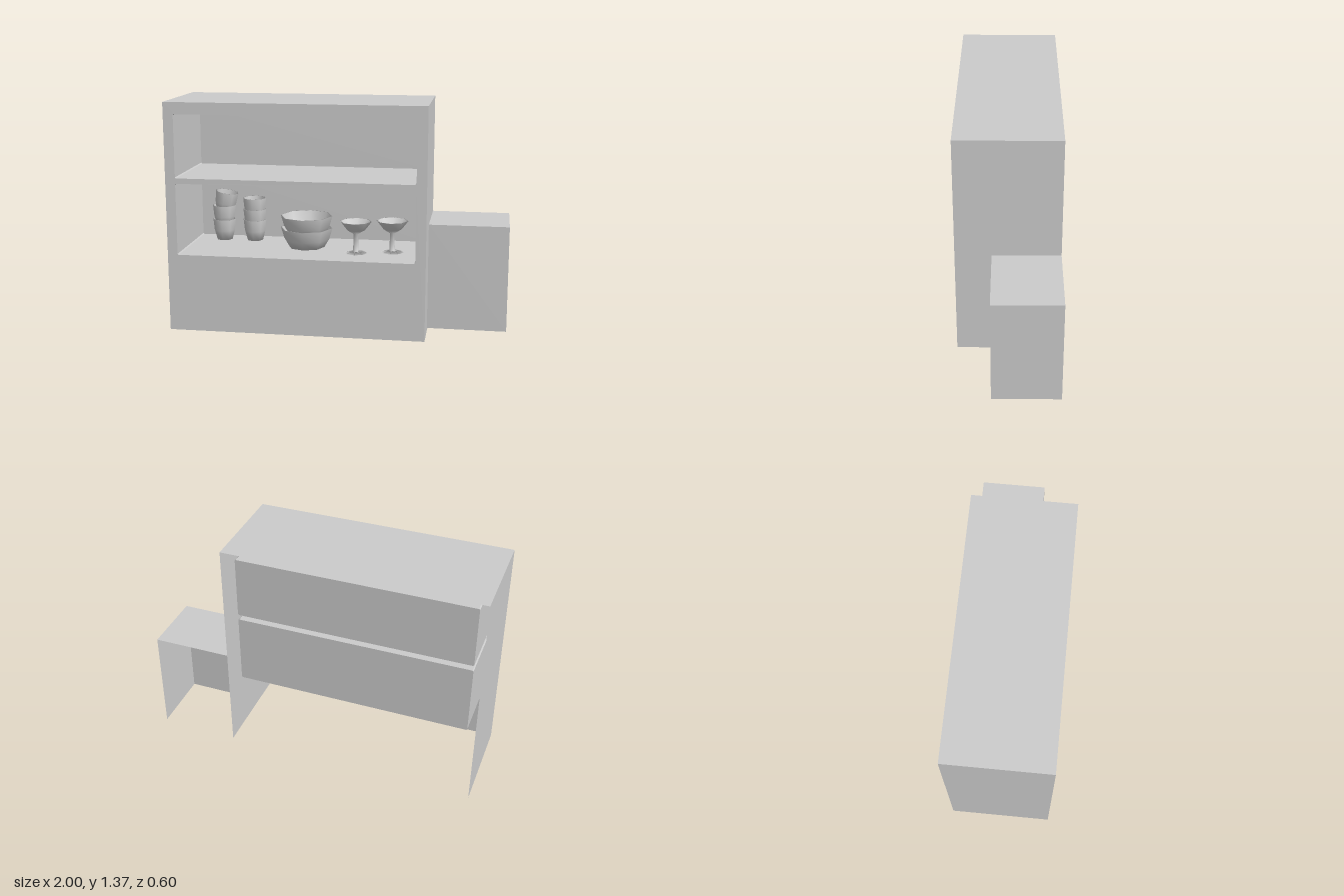
import * as THREE from 'three';

const material = new THREE.MeshStandardMaterial({ color: 0xcccccc, side: THREE.DoubleSide });

function mesh(name, geometry) {
  const m = new THREE.Mesh(geometry, material);
  m.name = name;
  return m;
}

// Thin walls swept along z from a 2D path of [x, y] points
function sweptWalls(path, front, back) {
  const position = [];
  for (let i = 0; i < path.length - 1; i++) {
    const [ax, ay] = path[i], [bx, by] = path[i + 1];
    position.push(ax, ay, front, bx, by, front, bx, by, back);
    position.push(ax, ay, front, bx, by, back, ax, ay, back);
  }
  const g = new THREE.BufferGeometry();
  g.setAttribute('position', new THREE.Float32BufferAttribute(position, 3));
  g.computeVertexNormals();
  return g;
}

// Open-bottomed arch outline: left wall, top, right wall
const arch = (x0, x1, y0, y1) => [[x0, y0], [x0, y1], [x1, y1], [x1, y0]];

// Rectangle with tiny cut corners, counter-clockwise
function cutRectangle(x0, x1, y0, y1, c = 0.006) {
  return [
    [x0 + c, y0], [x1 - c, y0], [x1, y0 + c], [x1, y1 - c],
    [x1 - c, y1], [x0 + c, y1], [x0, y1 - c], [x0, y0 + c],
  ];
}

const toVectors = (points) => points.map(([x, y]) => new THREE.Vector2(x, y));

function panel(points, z, holes = []) {
  const shape = new THREE.Shape(toVectors(points));
  holes.forEach((h) => shape.holes.push(new THREE.Path(toVectors(h))));
  return new THREE.ShapeGeometry(shape).translate(0, 0, z);
}

const lathe = (profile) => new THREE.LatheGeometry(toVectors(profile), 8);

const FLOOR = 0.465;
const BACK = -0.3;

const cup = lathe([[0, 0], [0.05, 0], [0.066, 0.06], [0.073, 0.13], [0.067, 0.13], [0.058, 0.06], [0.044, 0.012], [0, 0.012]]);
const bowl = lathe([[0, 0], [0.11, 0], [0.14, 0.05], [0.16, 0.118], [0.153, 0.118], [0.13, 0.05], [0.1, 0.012], [0, 0.012]]);
const goblet = lathe([
  [0, 0], [0.068, 0], [0.016, 0.01], [0.014, 0.115], [0.055, 0.14],
  [0.095, 0.192], [0.088, 0.192], [0.05, 0.15], [0, 0.128],
]);

export function createModel() {
  const model = new THREE.Group();
  model.name = 'displayCounter';

  // Cabinet shell, open at the back and bottom
  const cabinet = new THREE.Group();
  cabinet.name = 'cabinet';
  const outline = arch(-1, 0.53, 0, 1.37);
  const niches = {
    lowerNiche: cutRectangle(-0.94, 0.47, FLOOR, 0.893),
    upperNiche: cutRectangle(-0.94, 0.47, 0.925, 1.3),
  };
  cabinet.add(mesh('cabinetWalls', sweptWalls(outline, 0.3, BACK)));
  cabinet.add(mesh('cabinetFront', panel(outline, 0.3, Object.values(niches))));

  // Recessed niches with back panels
  for (const [name, points] of Object.entries(niches)) {
    const niche = new THREE.Group();
    niche.name = name;
    niche.add(mesh('nicheWalls', sweptWalls([...points, points[0]], 0.3, -0.24)));
    niche.add(mesh('nicheBack', panel(points, -0.24)));
    cabinet.add(niche);
  }
  model.add(cabinet);

  // Low side unit, open at the back and bottom
  const sideUnit = new THREE.Group();
  sideUnit.name = 'sideUnit';
  const sideOutline = arch(0.53, 1, 0.015, 0.652);
  sideUnit.add(mesh('sideUnitWalls', sweptWalls(sideOutline.slice(1), 0.092, BACK)));
  sideUnit.add(mesh('sideUnitFront', panel(sideOutline, 0.092)));
  model.add(sideUnit);

  // Dishes: stacks of cups and bowls, a pair of goblets
  const dishes = new THREE.Group();
  dishes.name = 'dishes';
  function place(name, geometry, x, lift, z, tilt = 0) {
    const dish = mesh(name, geometry);
    dish.position.set(x, FLOOR + lift, z);
    dish.rotation.z = tilt;
    dishes.add(dish);
  }
  [0, 0.087, 0.174].forEach((lift, i) => place('cup', cup, -0.77, lift, -0.14, i === 2 ? -0.17 : 0));
  [0, 0.067, 0.137].forEach((lift) => place('cup', cup, -0.575, lift, -0.145));
  [0, 0.075].forEach((lift) => place('bowl', bowl, -0.222, lift, -0.02));
  place('goblet', goblet, 0.097, 0, 0.09);
  place('goblet', goblet, 0.31, 0, 0.04);
  model.add(dishes);

  return model;
}
